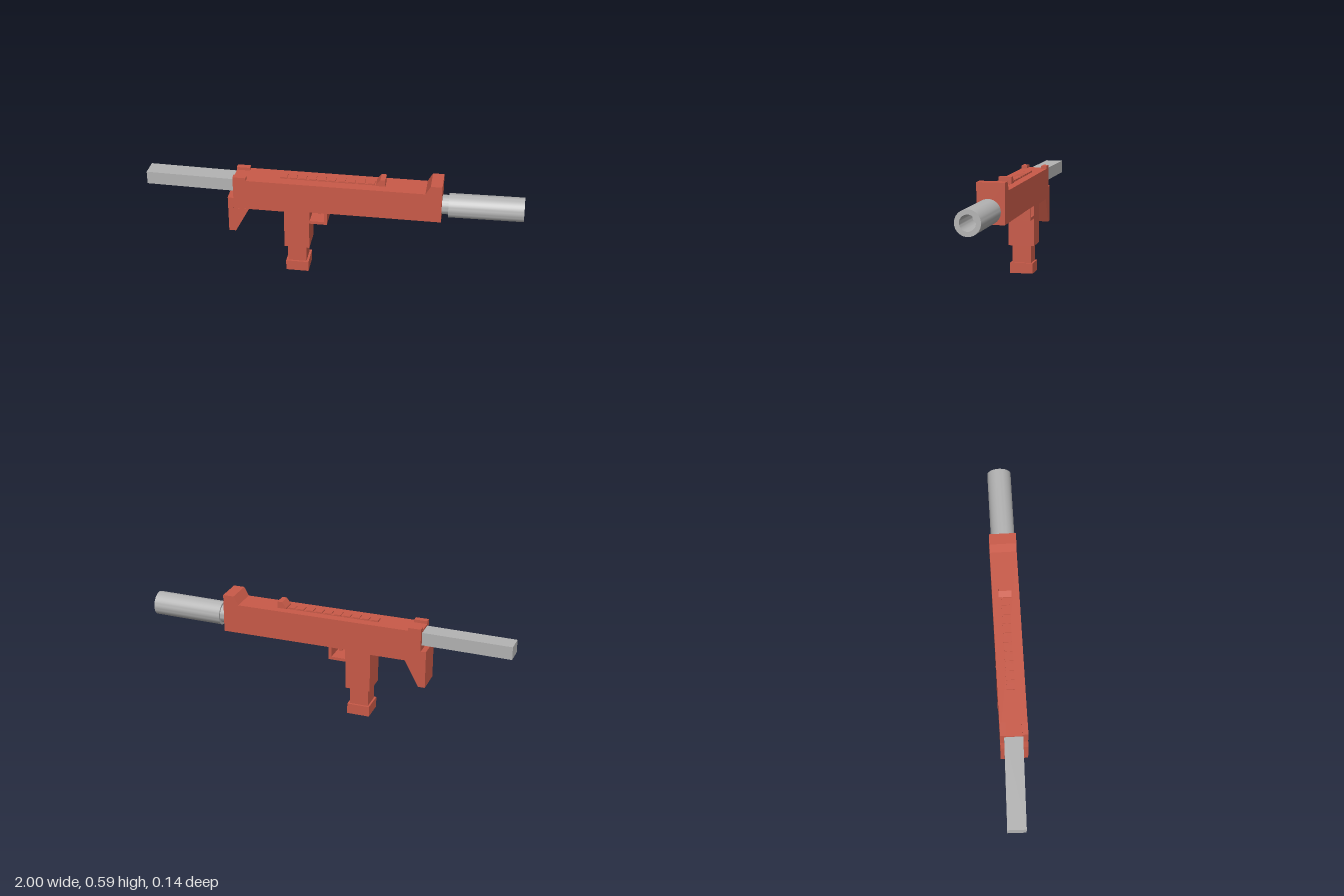
import * as THREE from 'three';
import { toCreasedNormals } from 'three/addons/utils/BufferGeometryUtils.js';

const red = new THREE.MeshStandardMaterial({ color: 0xc95a48 });
red.name = 'red plastic';
const grey = new THREE.MeshStandardMaterial({ color: 0xb3b3b3 });
grey.name = 'grey metal';

const W = 0.0715; // half width of the body

export function createModel() {
  const model = new THREE.Group();

  function add(name, geometry, material = red) {
    const mesh = new THREE.Mesh(geometry, material);
    mesh.name = name;
    model.add(mesh);
    return mesh;
  }
  // side profile in x/y, extruded from z0 to z1
  function slab(name, points, z0 = -W, z1 = W, hole) {
    const toVectors = (list) => list.map(([x, y]) => new THREE.Vector2(x, y));
    const shape = new THREE.Shape(toVectors(points));
    if (hole) shape.holes.push(new THREE.Path(toVectors(hole)));
    const geometry = new THREE.ExtrudeGeometry(shape, { depth: z1 - z0, bevelEnabled: false });
    return add(name, geometry.translate(0, 0, z0));
  }
  function box(name, x0, x1, y0, y1, z0, z1, material) {
    const geometry = new THREE.BoxGeometry(x1 - x0, y1 - y0, z1 - z0);
    geometry.translate((x0 + x1) / 2, (y0 + y1) / 2, (z0 + z1) / 2);
    return add(name, geometry, material);
  }
  // turned part along x, profile as [radius, distance]
  function turned(name, profile, x, y, z, tilt = 0) {
    const points = profile.map(([r, d]) => new THREE.Vector2(r, d));
    const mesh = add(name, toCreasedNormals(new THREE.LatheGeometry(points, 40), 0.6), grey);
    mesh.rotation.z = -Math.PI / 2 + tilt;
    mesh.position.set(x, y, z);
  }

  // body with grip, trigger guard and raised front sight
  slab('body', [
    [-0.525, 0.37], [-0.255, 0.37], [-0.255, 0.155], [-0.12, 0.155], [-0.12, 0.308],
    [-0.025, 0.308], [-0.025, 0.378], [0.575, 0.378], [0.575, 0.587], [0.515, 0.587],
    [0.489, 0.54], [-0.525, 0.54],
  ], -W, W, [[-0.117, 0.324], [-0.041, 0.324], [-0.041, 0.377], [-0.117, 0.377]]);
  slab('rearStock', [
    [-0.555, 0.23], [-0.518, 0.23], [-0.443, 0.37], [-0.525, 0.37], [-0.525, 0.43], [-0.555, 0.435],
  ], -W, W + 0.001);
  box('trigger', -0.08, -0.065, 0.34, 0.38, -0.02, 0.02);

  // rear sight blocks
  for (const side of [-1, 1]) {
    const inner = side * 0.041, outer = side * W;
    box('rearSight', -0.525, -0.455, 0.54, 0.556, Math.min(inner, outer), Math.max(inner, outer));
  }

  // top rail with teeth and the small sight on its end
  box('rail', -0.28, 0.276, 0.54, 0.544, -0.025, 0.018);
  for (let i = 0; i < 10; i++) {
    const x = -0.28 + i * 0.0515;
    box('railTooth', x, x + 0.036, 0.544, 0.549, -0.025, 0.018);
  }
  slab('railSight', [
    [0.227, 0.544], [0.276, 0.544], [0.276, 0.58], [0.25, 0.58], [0.227, 0.55],
  ], -0.038, 0.03);

  // magazine with an open pocket in its base
  box('magazine', -0.24, -0.14, 0.04, 0.155, -0.052, 0.052);
  const rect = (a, b) => [[-a, -b], [a, -b], [a, b], [-a, b]].map(([x, y]) => new THREE.Vector2(x, y));
  const base = new THREE.Shape(rect(0.061, 0.063));
  base.holes.push(new THREE.Path(rect(0.043, 0.045)));
  const baseGeometry = new THREE.ExtrudeGeometry(base, { depth: 0.057, bevelEnabled: false });
  add('magazineBase', baseGeometry.rotateX(-Math.PI / 2).translate(-0.189, 0, 0));

  // barrel collar and hollow front tube
  turned('barrel', [[0, 0], [0.051, 0], [0.051, 0.05], [0, 0.05]], 0.57, 0.449, 0.003);
  turned('frontTube', [
    [0, 0], [0.064, 0], [0.064, 0.39], [0.04, 0.39], [0.04, 0.15], [0, 0.15],
  ], 0.61, 0.447, 0.004, 0.013);

  // rear bar, turned slightly to one side
  const bar = add('rearBar', new THREE.BoxGeometry(0.49, 0.07, 0.096), grey);
  bar.position.set(-0.754, 0.495, -0.008);
  bar.rotation.y = -0.023;

  return model;
}
